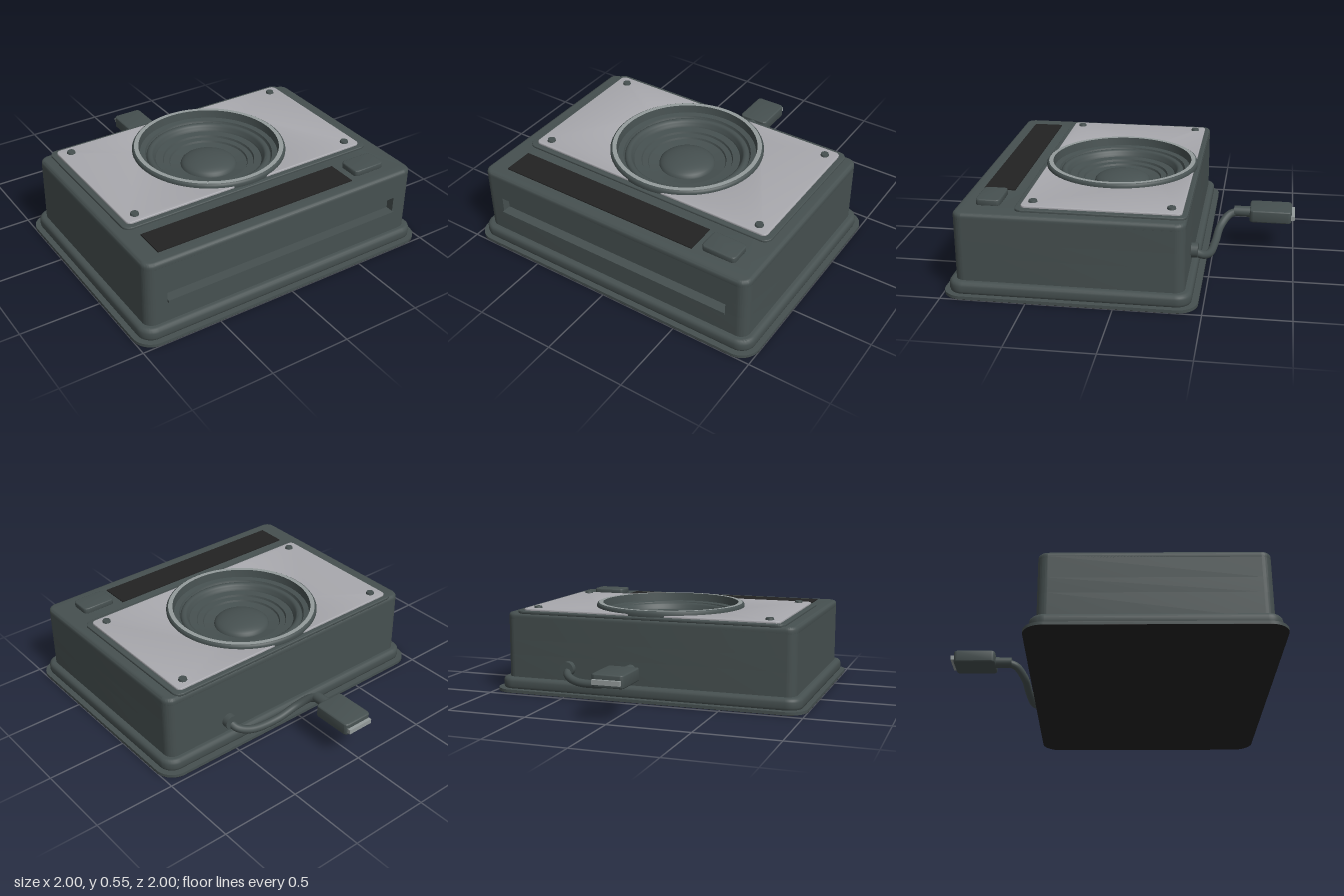
import * as THREE from 'three';
import { toCreasedNormals } from 'three/addons/utils/BufferGeometryUtils.js';

const mat = (name, color, side = THREE.FrontSide) => {
  const m = new THREE.MeshStandardMaterial({ color, side });
  m.name = name;
  return m;
};

export function createModel() {
  const group = new THREE.Group();
  const dark = mat('charcoal', 0x465050);
  const silver = mat('silver', 0xa9a9ae);
  const trim = mat('trim grey', 0x949b9b);
  const black = mat('black', 0x222222);
  const SPEAKER_Z = 0.095;

  const add = (name, geometry, material, x = 0, y = 0, z = 0) => {
    const mesh = new THREE.Mesh(geometry, material);
    mesh.name = name;
    mesh.position.set(x, y, z);
    group.add(mesh);
    return mesh;
  };

  // Rounded rectangle outline; shape y is -z. An optional notch is cut in the front side.
  const outline = (x0, x1, z0, z1, r, notch) => {
    const s = new THREE.Shape();
    const a = -z1, b = -z0;
    s.moveTo(x0 + r, a);
    if (notch) {
      s.lineTo(-notch.x, a);
      s.lineTo(-notch.x, a + notch.depth);
      s.lineTo(notch.x, a + notch.depth);
      s.lineTo(notch.x, a);
    }
    s.lineTo(x1 - r, a);
    s.absarc(x1 - r, a + r, r, -Math.PI / 2, 0);
    s.lineTo(x1, b - r);
    s.absarc(x1 - r, b - r, r, 0, Math.PI / 2);
    s.lineTo(x0 + r, b);
    s.absarc(x0 + r, b - r, r, Math.PI / 2, Math.PI);
    s.lineTo(x0, a + r);
    s.absarc(x0 + r, a + r, r, Math.PI, Math.PI * 1.5);
    return s;
  };

  // Horizontal slab from y0 to y1, optionally bevelled and with a round speaker hole
  const slab = (name, material, [x0, x1, z0, z1], [y0, y1], r, { bevel = 0, hole = 0, notch } = {}) => {
    const s = outline(x0, x1, z0, z1, r, notch);
    if (hole) {
      const h = new THREE.Path();
      h.absarc(0, -SPEAKER_Z, hole, 0, Math.PI * 2, true);
      s.holes.push(h);
    }
    const g = new THREE.ExtrudeGeometry(s, {
      depth: y1 - y0 - 2 * bevel, curveSegments: hole ? 32 : 8,
      bevelEnabled: bevel > 0, bevelThickness: bevel, bevelSize: bevel,
      bevelOffset: -bevel, bevelSegments: 3,
    });
    g.translate(0, 0, bevel);
    g.rotateX(-Math.PI / 2);
    return add(name, toCreasedNormals(g, 0.6), material, 0, y0, 0);
  };

  // Base and flange
  slab('basePlate', dark, [-1, 1, -0.47, 1], [0.001, 0.02], 0.12);
  slab('baseUnderside', black, [-1, 1, -0.47, 1], [0, 0.001], 0.12);
  slab('flange', dark, [-0.97, 0.97, -0.435, 0.97], [0.01, 0.09], 0.09, { bevel: 0.025 });

  // Body in layers, with a long slot across the front
  const body = [-0.93, 0.93, -0.395, 0.93];
  slab('lowerBody', dark, body, [0.07, 0.235], 0.06);
  slab('slotBody', dark, body, [0.235, 0.33], 0.06, { notch: { x: 0.8, depth: 0.05 } });
  slab('upperBody', dark, body, [0.33, 0.47], 0.06, { hole: 0.44 });
  slab('bodyTop', dark, body, [0.44, 0.5], 0.06, { bevel: 0.02, hole: 0.44 });
  add('slotLip', new THREE.BoxGeometry(1.6, 0.015, 0.05), dark, 0, 0.2275, 0.917);

  // Speaker panel
  slab('panelFrame', dark, [-0.86, 0.86, -0.395, 0.587], [0.495, 0.513], 0.05, { bevel: 0.004, hole: 0.45 });
  slab('speakerPanel', silver, [-0.825, 0.825, -0.365, 0.555], [0.505, 0.525], 0.03, { bevel: 0.004, hole: 0.45 });
  for (const x of [-0.75, 0.75]) for (const z of [-0.3, 0.495]) {
    add('panelScrew', new THREE.CylinderGeometry(0.023, 0.027, 0.015, 20), dark, x, 0.53, z);
  }

  // Speaker: rim, bright ring, stepped cone and dome
  const lathe = (name, material, pts) => add(name, toCreasedNormals(
    new THREE.LatheGeometry(pts.map(([r, y]) => new THREE.Vector2(r, y)), 64), 0.6), material, 0, 0, SPEAKER_Z);
  lathe('speakerRim', dark, [[0.47, 0.5], [0.475, 0.515], [0.475, 0.535], [0.47, 0.545], [0.462, 0.55]]);
  lathe('speakerRing', trim, [[0.462, 0.55], [0.435, 0.55]]);
  const cone = [[0.435, 0.55], [0.428, 0.5], [0.395, 0.495], [0.39, 0.48]];
  for (let i = 0; i <= 6; i++) {
    const a = (i / 6) * Math.PI;
    cone.push([0.365 + 0.022 * Math.cos(a), 0.475 + 0.018 * Math.sin(a)]);
  }
  cone.push([0.335, 0.465], [0.33, 0.452], [0.285, 0.448], [0.28, 0.435], [0.245, 0.432],
    [0.24, 0.42], [0.175, 0.41]);
  for (let i = 1; i <= 8; i++) {
    const a = (i / 8) * Math.PI / 2;
    cone.push([i === 8 ? 0 : 0.175 * Math.cos(a), 0.41 + 0.055 * Math.sin(a)]);
  }
  lathe('speakerCone', dark, cone);

  // Control strip and button
  add('displayStrip', new THREE.BoxGeometry(1.33, 0.006, 0.19), black, -0.14, 0.503, 0.752);
  slab('button', dark, [0.573, 0.787, 0.683, 0.825], [0.495, 0.535], 0.025, { bevel: 0.006 });

  // Cable leaving the back
  const boot = add('cableBoot', new THREE.CylinderGeometry(0.045, 0.045, 0.05, 24), dark, 0.5, 0.17, -0.41);
  boot.rotation.x = Math.PI / 2;
  const path = new THREE.CatmullRomCurve3([
    [0.5, 0.16, -0.41], [0.48, 0.135, -0.455], [0.4, 0.11, -0.495], [0.22, 0.115, -0.52],
    [0.09, 0.16, -0.54], [0.02, 0.215, -0.59], [0, 0.235, -0.65],
  ].map((p) => new THREE.Vector3(...p)));
  add('cable', new THREE.TubeGeometry(path, 64, 0.025, 14), dark);

  // Plug
  const relief = add('strainRelief', new THREE.CylinderGeometry(0.035, 0.033, 0.11, 24), dark, 0, 0.235, -0.675);
  relief.rotation.x = -Math.PI / 2;
  slab('plug', dark, [-0.098, 0.098, -0.98, -0.72], [0.2, 0.277], 0.025, { bevel: 0.008 });
  add('plugTip', new THREE.BoxGeometry(0.17, 0.028, 0.04), trim, 0, 0.234, -0.98);

  return group;
}
